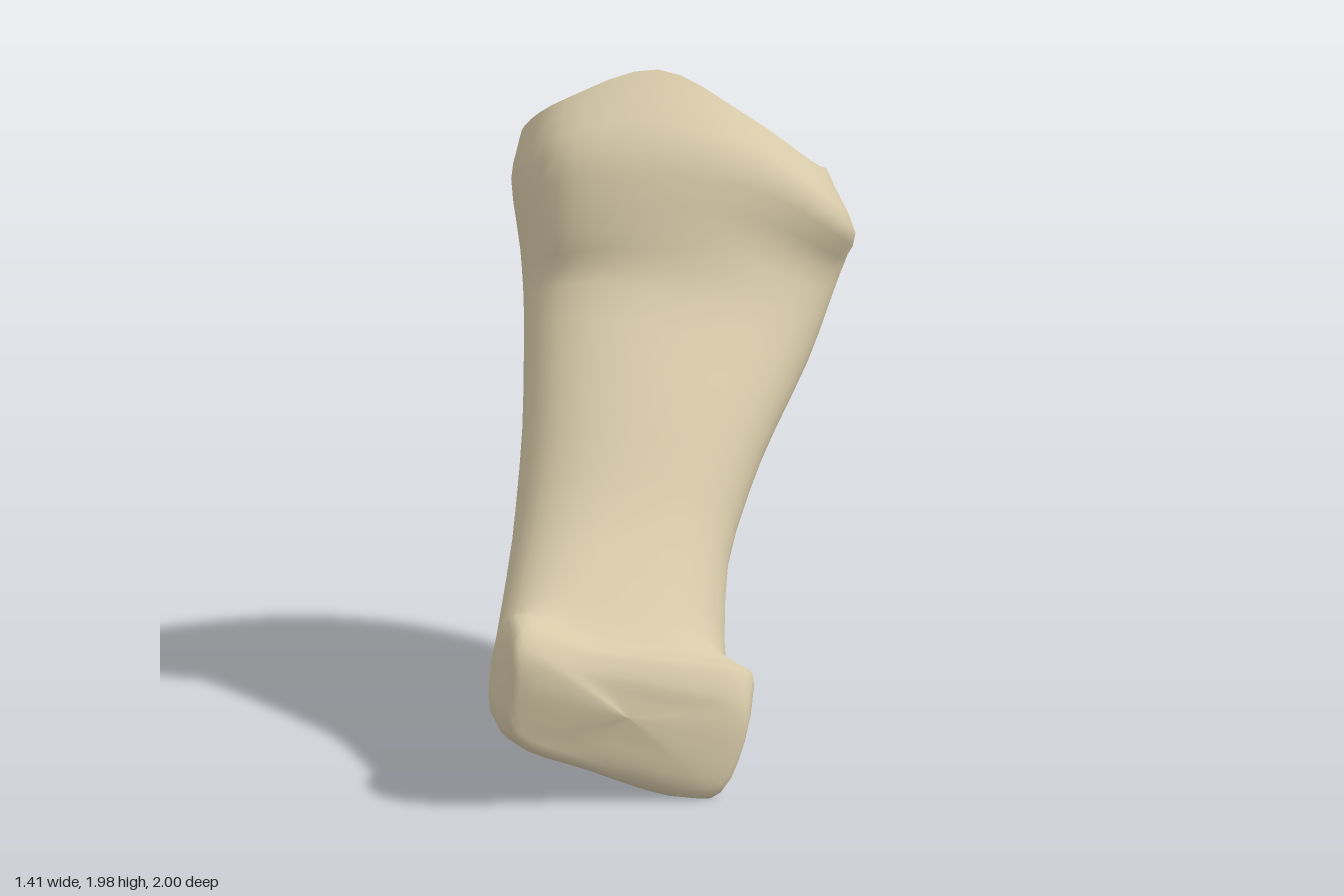
import * as THREE from 'three';

const SIDES = 40, STEPS = 3;
const vec = (a) => new THREE.Vector3(...a);

// Squarish oval section: centre, side half-axis, dorsal half-axis, squareness
function oval(centre, side, dorsal, squareness) {
  const power = (x) => Math.sign(x) * Math.pow(Math.abs(x), squareness);
  return Array.from({ length: SIDES }, (_, j) => {
    const a = (j / SIDES) * Math.PI * 2;
    return vec(centre)
      .addScaledVector(vec(side), power(Math.cos(a)))
      .addScaledVector(vec(dorsal), power(Math.sin(a)));
  });
}

// Free-form section: smooth closed curve from the +x side over the front to the back
function outline(points) {
  const curve = new THREE.CatmullRomCurve3(points.map(vec), true, 'catmullrom', 0.5);
  return Array.from({ length: SIDES }, (_, j) => curve.getPoint(j / SIDES));
}

// Section drawn in towards a centre point, with an optional sag
function shrink(ring, centre, t, sag = 0) {
  return ring.map((p) => {
    const q = p.clone().lerp(vec(centre), t);
    q.y -= sag;
    return q;
  });
}

// Smooth skin over a row of sections
function loft(rings) {
  const rows = (rings.length - 1) * STEPS;
  const columns = Array.from({ length: SIDES }, (_, j) =>
    new THREE.CatmullRomCurve3(rings.map((r) => r[j]), false, 'catmullrom', 0.4));
  const positions = [], indices = [];
  for (let i = 0; i <= rows; i++) {
    for (let j = 0; j < SIDES; j++) {
      const point = columns[j].getPoint(i / rows);
      positions.push(point.x, Math.max(0, point.y), point.z);
      if (i === rows) continue;
      const a = i * SIDES + j, b = i * SIDES + ((j + 1) % SIDES);
      indices.push(a, a + SIDES, b, b, a + SIDES, b + SIDES);
    }
  }
  const geometry = new THREE.BufferGeometry();
  geometry.setAttribute('position', new THREE.Float32BufferAttribute(positions, 3));
  geometry.setIndex(indices);
  geometry.computeVertexNormals();
  return geometry;
}

export function createModel() {
  const group = new THREE.Group();
  group.name = 'fingerBone';
  const bone = new THREE.MeshStandardMaterial({ color: 0xd6c9a8 });
  bone.name = 'bone';
  const add = (name, rings) => {
    const mesh = new THREE.Mesh(loft(rings), bone);
    mesh.name = name;
    group.add(mesh);
  };

  // Two-lobed knuckle at the lower end
  const knuckleFront = outline([
    [0.04, 0.2, 0.96], [0.02, 0.3, 0.94], [-0.17, 0.36, 0.94], [-0.42, 0.42, 0.945],
    [-0.62, 0.49, 0.985], [-0.66, 0.4, 0.995], [-0.64, 0.26, 0.975], [-0.43, 0.16, 0.95],
    [-0.18, 0.06, 0.965], [-0.02, 0.05, 0.975],
  ]);
  const knuckleEdge = outline([
    [0.09, 0.24, 0.9], [0.05, 0.38, 0.88], [-0.15, 0.43, 0.89], [-0.42, 0.48, 0.9],
    [-0.64, 0.56, 0.93], [-0.69, 0.4, 0.95], [-0.67, 0.21, 0.95], [-0.43, 0.1, 0.92],
    [-0.17, 0.005, 0.92], [-0.02, 0.01, 0.93],
  ]);
  const knuckleMiddle = outline([
    [0.12, 0.29, 0.75], [0.08, 0.38, 0.8], [-0.15, 0.44, 0.81], [-0.42, 0.5, 0.82],
    [-0.63, 0.58, 0.81], [-0.7, 0.42, 0.77], [-0.68, 0.22, 0.76], [-0.43, 0.13, 0.72],
    [-0.17, 0.03, 0.69], [0, 0.03, 0.69],
  ]);
  const knuckleCentre = [-0.31, 0.27, 0.965];
  const knuckle = [
    shrink(knuckleFront, knuckleCentre, 1),
    shrink(knuckleFront, knuckleCentre, 0.5),
    knuckleFront, knuckleEdge, knuckleMiddle,
  ];

  const shaft = [
    oval([-0.285, 0.355, 0.585], [0.365, -0.08, 0], [0, 0.215, 0.1], 0.8),
    oval([-0.18, 0.62, 0.24], [0.335, -0.05, 0.03], [0, 0.17, 0.16], 0.9),
    oval([-0.05, 0.9, -0.04], [0.365, -0.07, 0.05], [0, 0.165, 0.185], 0.9),
    oval([0.09, 1.175, -0.33], [0.435, -0.1, 0.06], [0, 0.16, 0.21], 0.9),
  ];

  // Flared head with a flat front and a round back
  const neck = outline([
    [0.66, 1.29, -0.46], [0.56, 1.37, -0.28], [0.28, 1.5, -0.2], [-0.02, 1.53, -0.2],
    [-0.27, 1.5, -0.27], [-0.34, 1.44, -0.45], [-0.27, 1.36, -0.65], [-0.03, 1.24, -0.78],
    [0.27, 1.2, -0.82], [0.53, 1.2, -0.68],
  ]);
  const brim = outline([
    [0.69, 1.42, -0.5], [0.65, 1.5, -0.27], [0.36, 1.7, -0.25], [0, 1.78, -0.27],
    [-0.26, 1.75, -0.32], [-0.345, 1.66, -0.52], [-0.29, 1.56, -0.74], [-0.07, 1.46, -0.93],
    [0.25, 1.42, -1], [0.56, 1.42, -0.8],
  ]);
  const crest = outline([
    [0.64, 1.61, -0.57], [0.57, 1.67, -0.42], [0.36, 1.83, -0.42], [0.09, 1.98, -0.45],
    [-0.2, 1.9, -0.46], [-0.31, 1.8, -0.55], [-0.27, 1.7, -0.7], [-0.08, 1.57, -0.9],
    [0.22, 1.53, -0.96], [0.55, 1.56, -0.76],
  ]);
  add('shaftAndKnuckle', [...knuckle, ...shaft, neck, brim, crest]);

  // Shallow joint dish inside the crest
  const dishCentre = [0.18, 1.64, -0.67];
  add('jointDish', [
    crest,
    shrink(crest, dishCentre, 0.35, 0.02),
    shrink(crest, dishCentre, 0.7, 0.02),
    shrink(crest, dishCentre, 1),
  ]);
  return group;
}
